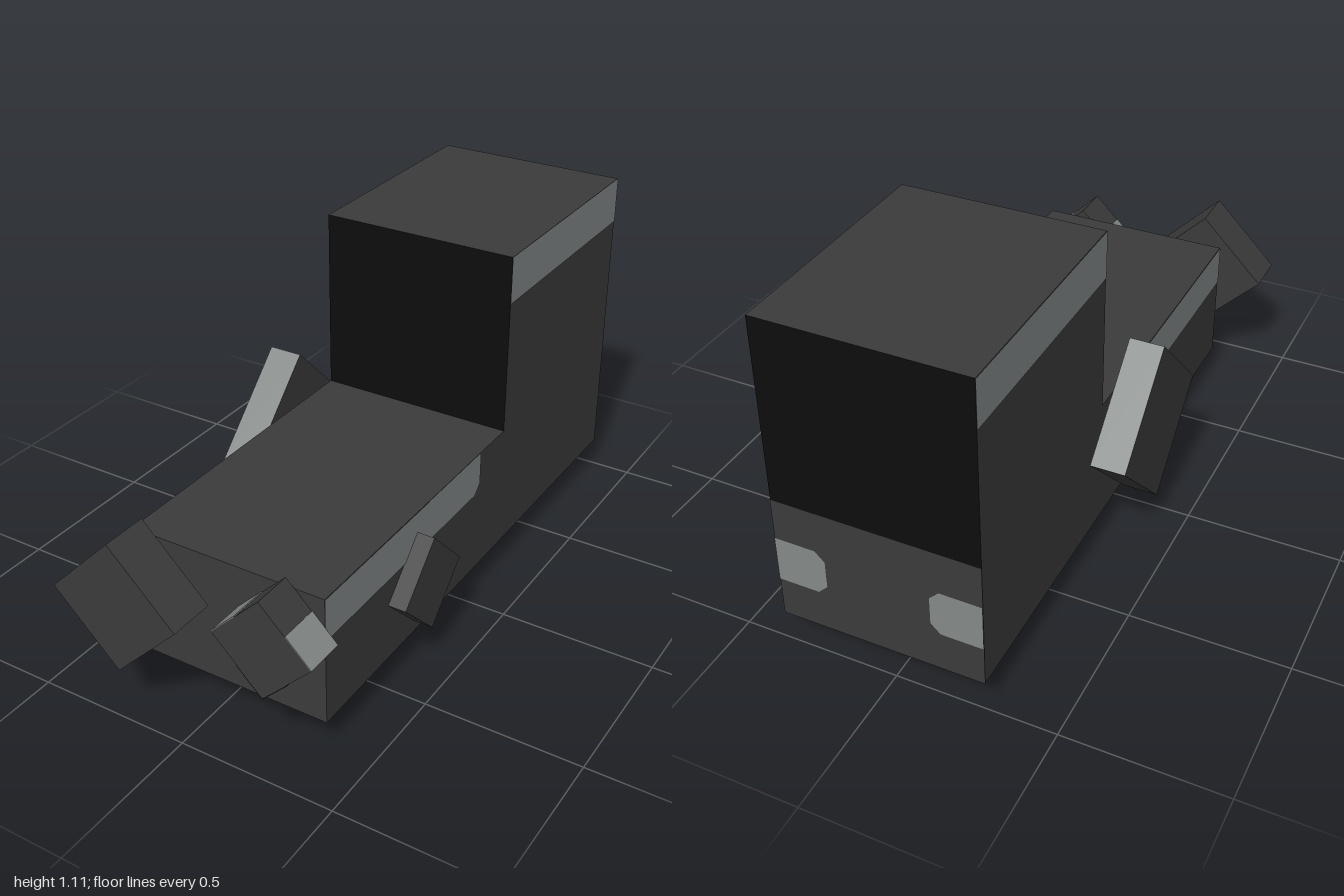
import * as THREE from 'three';

const mat = (name, color, side = THREE.FrontSide) => {
  const m = new THREE.MeshStandardMaterial({ color, side });
  m.name = name;
  return m;
};

export function createModel() {
  const model = new THREE.Group();
  const dark = mat('darkGrey', 0x3b3b3b);
  const black = mat('black', 0x0d0d0d);
  const light = mat('lightGrey', 0x848988);

  const add = (name, geometry, material, parent = model) => {
    const mesh = new THREE.Mesh(geometry, material);
    mesh.name = name;
    parent.add(mesh);
    return mesh;
  };

  // Box given by its limits; materials in the order +x, -x, +y, -y, +z, -z
  const block = (name, [x0, x1], [y0, y1], [z0, z1], material) => {
    const mesh = add(name, new THREE.BoxGeometry(x1 - x0, y1 - y0, z1 - z0), material);
    mesh.position.set((x0 + x1) / 2, (y0 + y1) / 2, (z0 + z1) / 2);
    return mesh;
  };

  const left = 0.362, right = -0.284, back = -1, lift = 0.002;

  // Body: low front and tall rear
  block('hood', [right, left], [0.098, 0.518], [-0.222, 0.81],
    [dark, dark, dark, black, dark, dark]);
  block('cabin', [right, left], [0.098, 1.108], [back, -0.222],
    [dark, dark, dark, black, black, black]);
  block('underside', [-0.21, 0.287], [0, 0.098], [-0.58, 0.24], black);

  // Pale bands along both sides; the hood band has a clipped rear corner
  for (const s of [1, -1]) {
    const group = new THREE.Group();
    group.name = s > 0 ? 'leftBands' : 'rightBands';
    group.position.x = s > 0 ? left + lift : right - lift;
    group.rotation.y = s * Math.PI / 2;
    model.add(group);
    // In the group, u = -s * z
    const panel = (name, points) => {
      const pts = points.map(([z, y]) => new THREE.Vector2(-s * z, y));
      add(name, new THREE.ShapeGeometry(new THREE.Shape(pts)), light, group);
    };
    panel('cabinBand', [[back, 0.957], [-0.222, 0.957], [-0.222, 1.108], [back, 1.108]]);
    panel('hoodBand', [[-0.035, 0.38], [0.81, 0.38], [0.81, 0.518], [-0.066, 0.518], [-0.066, 0.41]]);
  }

  // Rear panel with two lamps that have clipped inner corners
  const rear = new THREE.Group();
  rear.name = 'rearPanel';
  rear.position.set((left + right) / 2, 0, back - lift);
  rear.rotation.y = Math.PI;
  model.add(rear);
  const half = (left - right) / 2;
  const face = (name, points, material) => add(name, new THREE.ShapeGeometry(
    new THREE.Shape(points.map(p => new THREE.Vector2(...p)))), material, rear);
  face('lowerPanel', [[-half, 0.098], [half, 0.098], [half, 0.515], [-half, 0.515]], dark);
  for (const s of [1, -1]) {
    const lamp = face(s > 0 ? 'rightLamp' : 'leftLamp', [
      [s * half, 0.23], [s * half, 0.38], [s * (half - 0.13), 0.38], [s * (half - 0.16), 0.35],
      [s * (half - 0.16), 0.26], [s * (half - 0.13), 0.23]], light);
    lamp.position.z = lift;
  }

  // Square blocks standing on a corner; r is half the diagonal
  const frontDiamond = (name, x, y, z0, z1, r, material) => {
    const a = r * Math.SQRT2;
    const mesh = add(name, new THREE.BoxGeometry(a, a, z1 - z0), material);
    mesh.position.set(x, y, (z0 + z1) / 2);
    mesh.rotation.z = Math.PI / 4;
    return mesh;
  };
  const sideDiamond = (name, x0, x1, y, z, r, material) => {
    const a = r * Math.SQRT2;
    const mesh = add(name, new THREE.BoxGeometry(x1 - x0, a, a), material);
    mesh.position.set((x0 + x1) / 2, y, z);
    mesh.rotation.x = Math.PI / 4;
  };
  frontDiamond('largeFrontBlock', -0.21, 0.384, 0.85, 1, 0.214, dark);
  const small = frontDiamond('smallFrontBlock', 0.24, 0.384, 0.81, 0.938, 0.161, dark);
  sideDiamond('smallSideBlock', 0.362, 0.42, 0.289, 0.322, 0.161, dark);
  // Both upward faces (local +y and +z) are pale
  sideDiamond('largeSideBlock', -0.415, -0.304, 0.392, -0.073, 0.282,
    [dark, dark, light, dark, light, dark]);
  const sideBlock = model.getObjectByName('largeSideBlock');
  sideBlock.material = [dark, dark, light, dark, dark, light];

  // After the turn, local +y faces up and forward, local -z up and back.
  // Half-width edge stripes on the small front block
  const a = 0.161 * Math.SQRT2, e = a / 2 + 0.001, t = 0.003, d = 0.128;
  const stripe = (name, w, h, x, y, material) =>
    add(name, new THREE.BoxGeometry(w, h, d), material, small).position.set(x, y, 0);
  stripe('upperLeftStripe', t, a / 2, e, -a / 4, light);
  stripe('upperRightStripe', a / 2, t, -a / 4, e, light);
  stripe('lowerRightStripe', t, a / 2, -e, -a / 4, black);
  stripe('lowerLeftStripe', a / 2, t, -a / 4, -e, black);

  return model;
}
